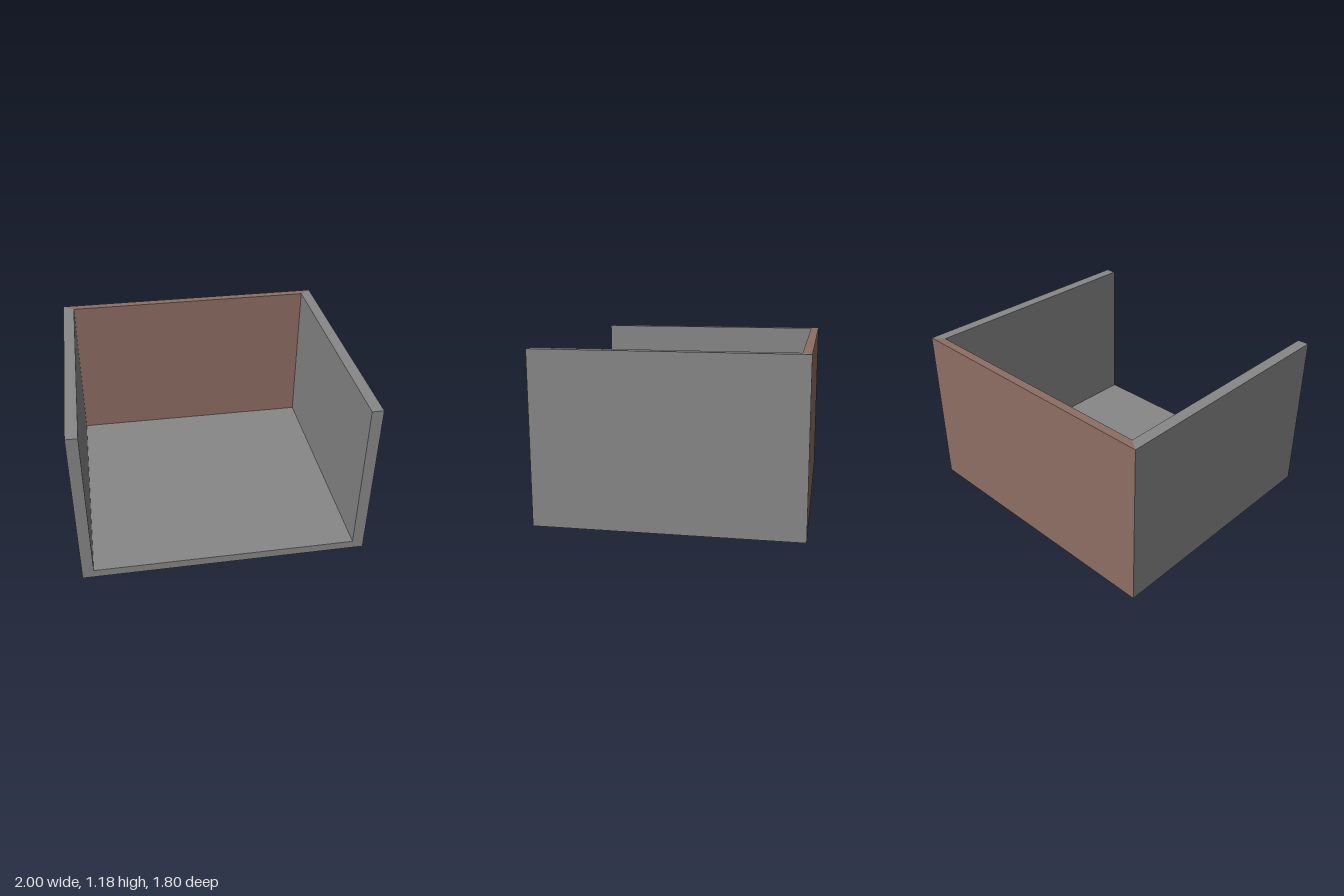
import * as THREE from 'three';

const H = 1.18, FRONT = 0.9, BACK = -0.9, INNER_BACK = -0.84;

// Flat-sided geometry from four-cornered faces (counter-clockwise from outside)
function quads(faces) {
  const positions = faces.flatMap(([a, b, c, d]) => [a, b, c, a, c, d].flat());
  const geometry = new THREE.BufferGeometry();
  geometry.setAttribute('position', new THREE.Float32BufferAttribute(positions, 3));
  geometry.computeVertexNormals();
  return geometry;
}

export function createModel() {
  const group = new THREE.Group();
  group.name = 'openBox';

  const grey = new THREE.MeshStandardMaterial({ color: 0x888888 });
  grey.name = 'grey';
  const brown = new THREE.MeshStandardMaterial({ color: 0x8d6e63 });
  brown.name = 'brown';

  const add = (name, material, faces) => {
    const mesh = new THREE.Mesh(quads(faces), material);
    mesh.name = name;
    group.add(mesh);
  };

  // U-shaped outlines, from the top of one side wall round to the other
  const outer = [[-1, H], [-1, 0], [1, 0], [1, H]];
  const inner = [[-0.92, H], [-0.92, 0.06], [0.92, 0.06], [0.92, H]];
  const at = (points, z) => points.map(([x, y]) => [x, y, z]);
  const of = at(outer, FRONT), ob = at(outer, BACK);
  const nf = at(inner, FRONT), nb = at(inner, INNER_BACK);

  // Side walls and floor: outside, inside and front edge, plus the wall tops
  const tops = [
    [[of[0], nf[0], nb[0], ob[0]]],
    [],
    [[nf[3], of[3], ob[3], nb[3]]],
  ];
  ['rightWall', 'floor', 'leftWall'].forEach((name, i) => {
    const j = i + 1;
    add(name, grey, [
      [ob[i], ob[j], of[j], of[i]],
      [nf[i], nf[j], nb[j], nb[i]],
      [of[i], of[j], nf[j], nf[i]],
      ...tops[i],
    ]);
  });

  // Back wall, mitred into the other three
  add('backWall', brown, [
    [ob[0], ob[3], ob[2], ob[1]],
    [nb[0], nb[1], nb[2], nb[3]],
    [nb[0], nb[3], ob[3], ob[0]],
  ]);

  return group;
}
